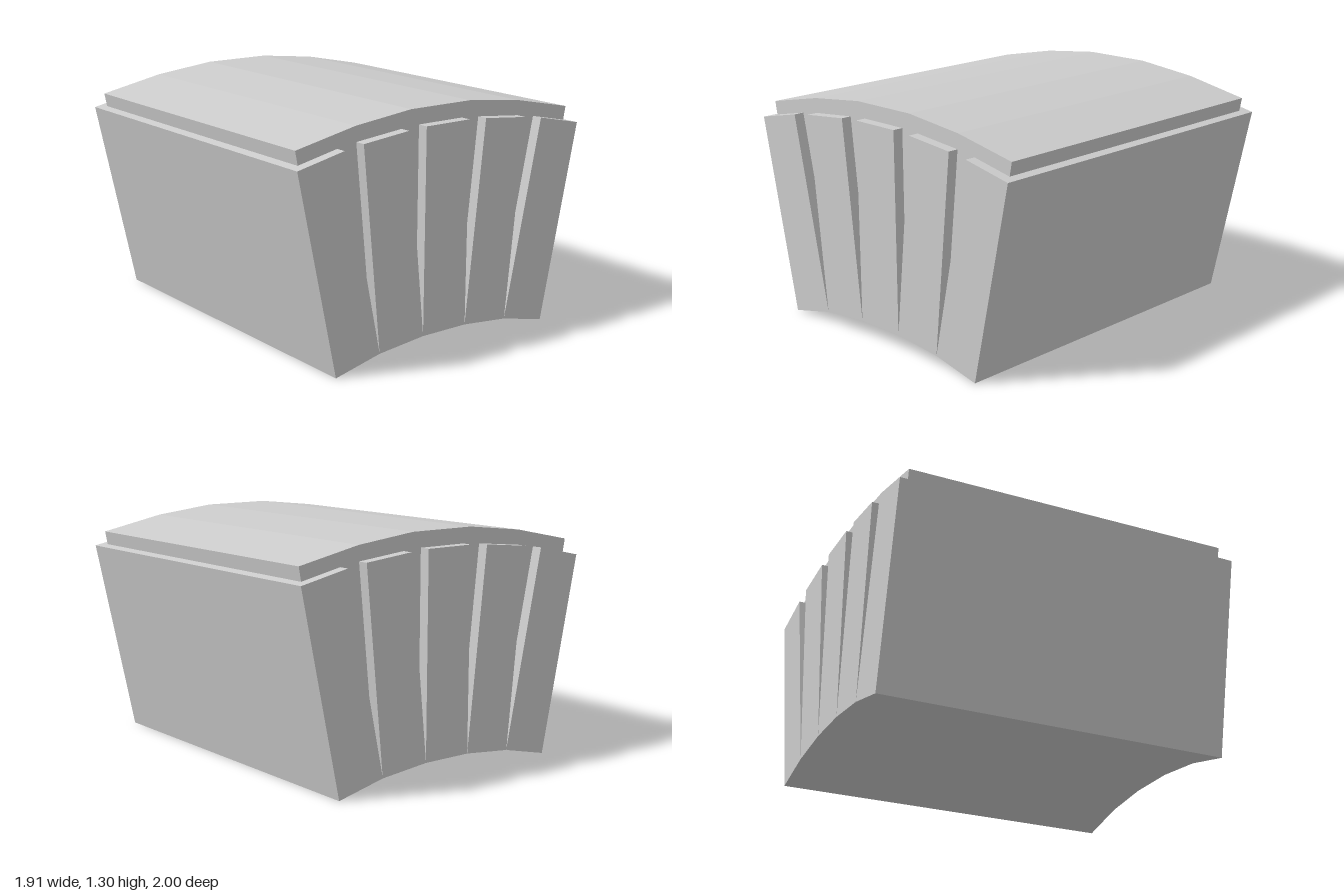
import * as THREE from 'three';

const material = new THREE.MeshStandardMaterial({ color: 0xcccccc, flatShading: true });

// Extrude an x-y outline to a given depth, centred on z = 0
function prism(name, points, depth) {
  const shape = new THREE.Shape(points.map(([x, y]) => new THREE.Vector2(x, y)));
  const geometry = new THREE.ExtrudeGeometry(shape, { depth, bevelEnabled: false });
  geometry.translate(0, 0, -depth / 2);
  const mesh = new THREE.Mesh(geometry, material);
  mesh.name = name;
  return mesh;
}

const mirror = (points) => points.map(([x, y]) => [-x, y]).reverse();

export function createModel() {
  const group = new THREE.Group();
  group.name = 'archSegment';

  // Curved core: its top stands proud, its ends sit behind the wedge gaps
  const coreHalf = [[0.147, 0.11], [0.44, 0.08], [0.70, 0.025], [0.922, 1.185], [0.555, 1.26], [0.2, 1.3]];
  group.add(prism('core', [...coreHalf, ...mirror(coreHalf)], 1.88));

  // Centre block
  group.add(prism('centreBlock', [[-0.147, 0.095], [0.147, 0.095], [0.147, 1.215], [-0.147, 1.215]], 2));

  // Fanned side blocks, touching along their lower edges
  const sideBlocks = {
    InnerBlock: [[0.147, 0.095], [0.44, 0.065], [0.552, 1.178], [0.263, 1.207]],
    OuterBlock: [[0.44, 0.065], [0.722, 0], [0.954, 1.1], [0.67, 1.16]],
  };
  for (const [name, points] of Object.entries(sideBlocks)) {
    group.add(prism('left' + name, points, 2));
    group.add(prism('right' + name, mirror(points), 2));
  }
  return group;
}
